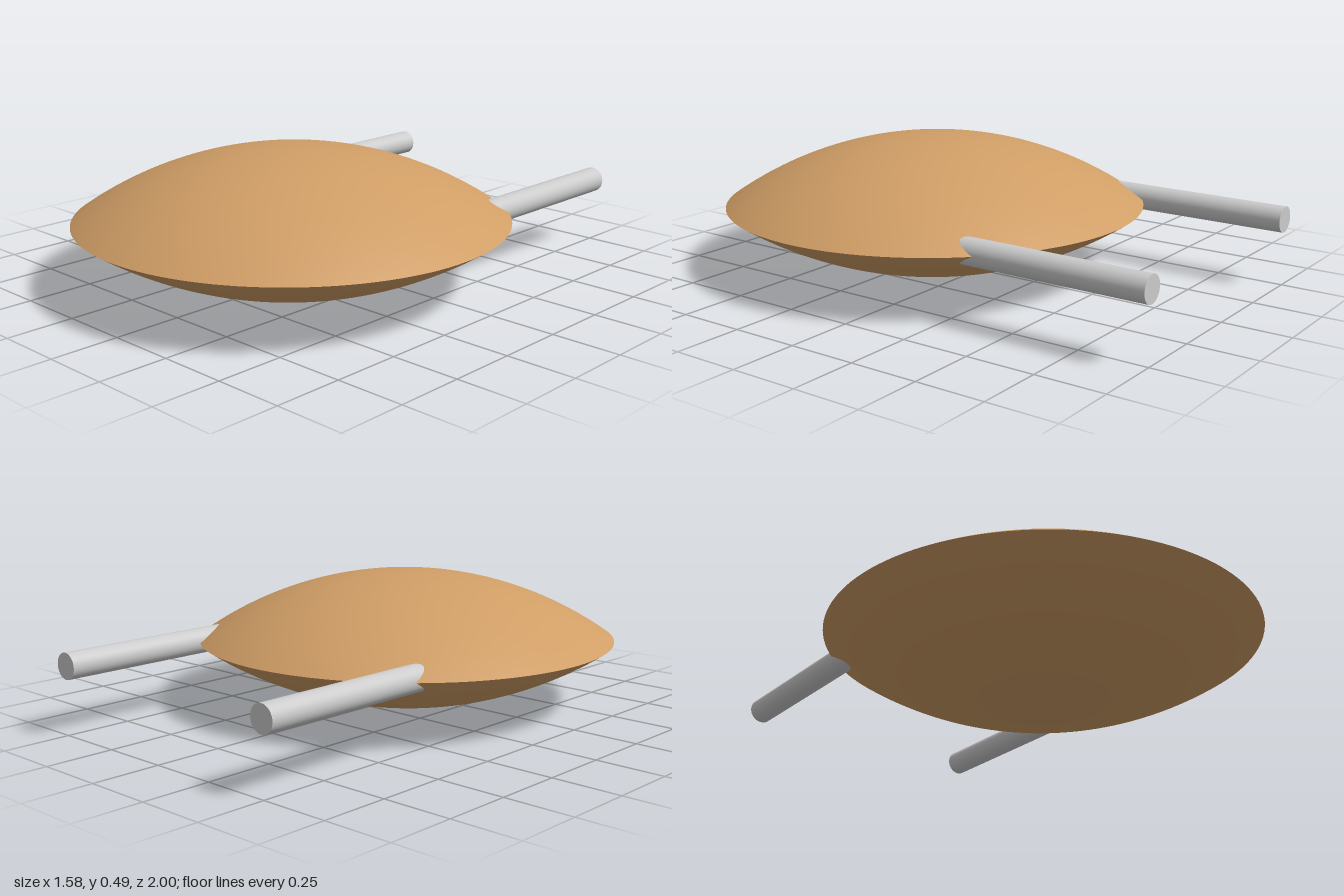
import * as THREE from 'three';

const RADIUS = 0.79, RISE = 0.247, MID_Y = 0.248, BODY_Z = 0.205;

export function createModel() {
  const group = new THREE.Group();
  const tan = new THREE.MeshStandardMaterial({ color: 0xd09e66 });
  const grey = new THREE.MeshStandardMaterial({ color: 0xcccccc });

  // lens-shaped body: two shallow sphere caps meeting in a sharp rim
  const R = (RADIUS * RADIUS + RISE * RISE) / (2 * RISE);
  const cap = new THREE.SphereGeometry(R, 128, 32, 0, Math.PI * 2, 0, Math.asin(RADIUS / R));
  cap.translate(0, RISE - R, 0);
  for (const [name, turn] of [['upperShell', 0], ['lowerShell', Math.PI]]) {
    const shell = new THREE.Mesh(cap, tan);
    shell.name = name;
    shell.rotation.x = turn;
    shell.position.set(0, MID_Y, BODY_Z);
    group.add(shell);
  }

  // two round rods running backward out of the body
  const front = -0.2, back = -1;
  const rodShape = new THREE.CylinderGeometry(0.048, 0.048, front - back, 48);
  rodShape.rotateX(Math.PI / 2);
  for (const [name, side] of [['leftRod', 1], ['rightRod', -1]]) {
    const rod = new THREE.Mesh(rodShape, grey);
    rod.name = name;
    rod.position.set(side * 0.495, MID_Y, (front + back) / 2);
    group.add(rod);
  }
  return group;
}
